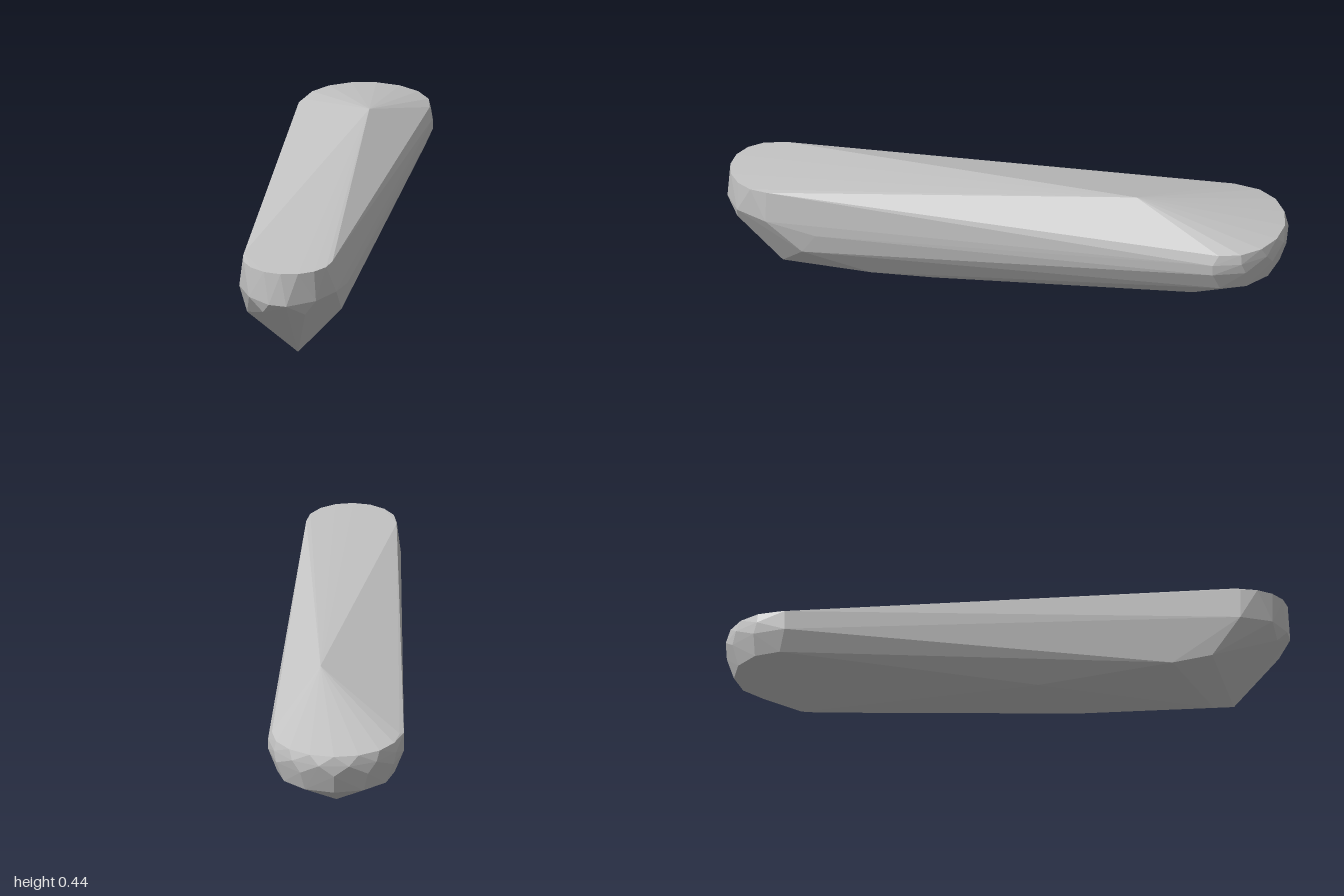
import * as THREE from 'three';
import { ConvexGeometry } from 'three/addons/geometries/ConvexGeometry.js';

const stone = new THREE.MeshStandardMaterial({ color: 0xc4c4c4, flatShading: true });
stone.name = 'light grey';

// Points of a rounded end: a half ellipse around z = zc, bulging toward +z or -z
function endRing(y, halfWidth, zc, depth, dir, count) {
  const points = [];
  for (let i = 0; i <= count; i++) {
    const a = Math.PI * i / count;
    points.push(new THREE.Vector3(-halfWidth * Math.cos(a), y, zc + dir * depth * Math.sin(a)));
  }
  return points;
}

export function createModel() {
  const group = new THREE.Group();
  group.name = 'facetedBar';

  const points = [
    // Narrow front end: top rim
    ...endRing(0.386, 0.16, 0.84, 0.153, 1, 8),
    // Wide back end: top rim, two waist rings and the tucked lower rim
    ...endRing(0.335, 0.226, -0.79, 0.2, -1, 8),
    ...endRing(0.3, 0.24, -0.77, 0.23, -1, 7),
    ...endRing(0.26, 0.24, -0.77, 0.225, -1, 6),
    ...endRing(0.186, 0.208, -0.79, 0.18, -1, 6),
    // Front lower rim, ridge, shoulders, chin, bilge and keel corners
    ...[
      [-0.174, 0.272, 0.84], [-0.12, 0.275, 0.95], [-0.042, 0.267, 0.995],
      [0.022, 0.266, 1], [0.12, 0.275, 0.95], [0.174, 0.272, 0.84],
      [0.065, 0.443, -0.47],
      [-0.16, 0.39, 0.82], [-0.24, 0.329, -0.77],
      [-0.068, 0.225, 0.962], [0.082, 0.223, 0.955],
      [0.17, 0.155, 0.71], [0.183, 0.235, 0.66],
      [-0.163, 0.133, 0.74], [-0.17, 0.106, 0.6],
      [0.122, 0.06, 0.47], [-0.122, 0.06, 0.12],
      [0.118, 0.096, -0.68], [0.122, 0.062, 0.25],
      [0.03, 0.017, 0.8], [0, 0.004, 0.73], [0, 0, 0.25],
      [0, 0.047, -0.73],
    ].map((p) => new THREE.Vector3(...p)),
  ];

  const body = new THREE.Mesh(new ConvexGeometry(points), stone);
  body.name = 'body';
  group.add(body);
  return group;
}
